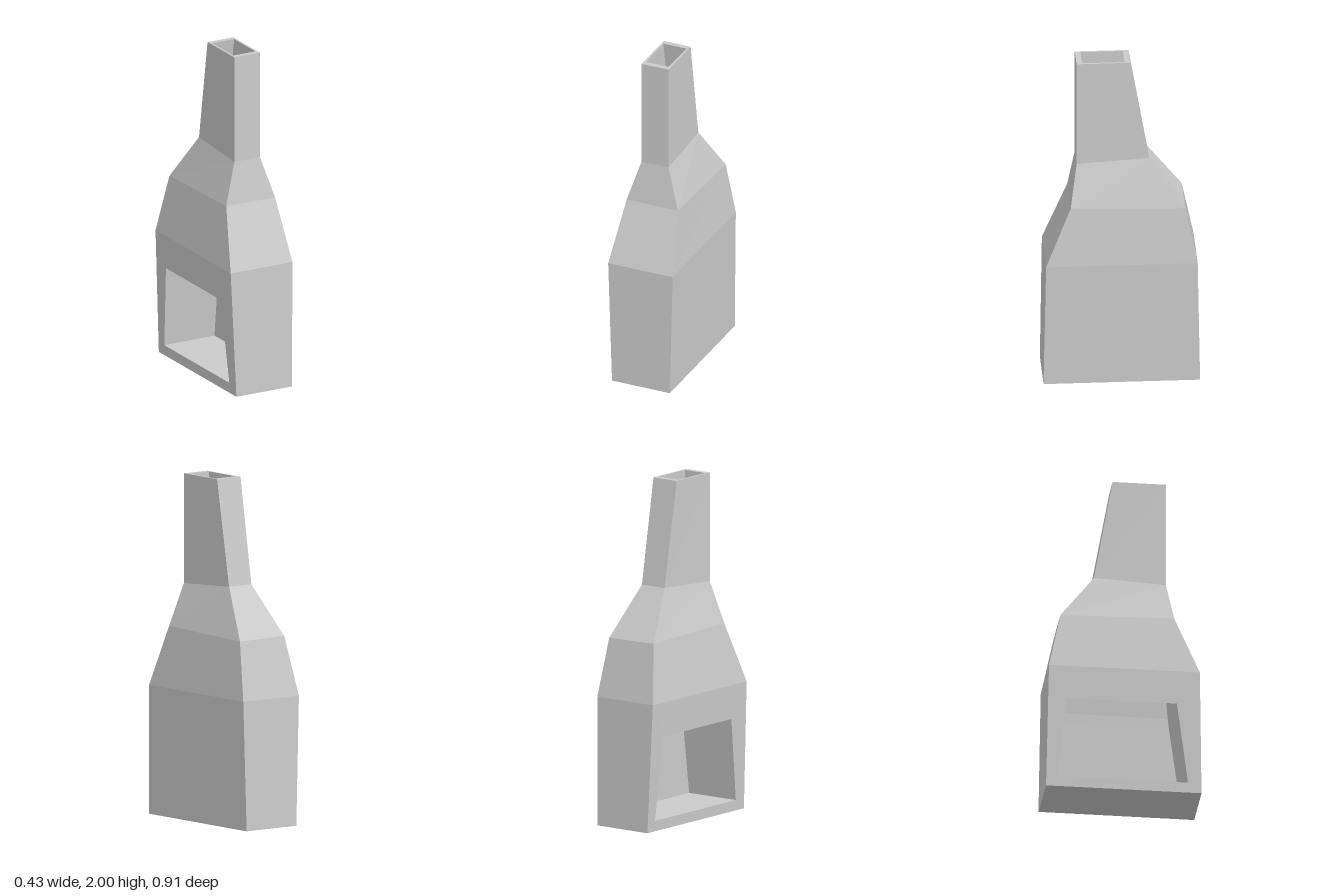
import * as THREE from 'three';

const material = new THREE.MeshStandardMaterial({ color: 0xcccccc, flatShading: true });

// Flat-shaded mesh from a list of four-cornered faces (counter-clockwise seen from outside)
function quadMesh(name, quads) {
  const positions = [];
  for (const [a, b, c, d] of quads) positions.push(...a, ...b, ...c, ...a, ...c, ...d);
  const geometry = new THREE.BufferGeometry();
  geometry.setAttribute('position', new THREE.Float32BufferAttribute(positions, 3));
  geometry.computeVertexNormals();
  const mesh = new THREE.Mesh(geometry, material);
  mesh.name = name;
  return mesh;
}

// Faces joining two four-cornered rings; side 3 faces -x
function band(lower, upper, sides = [0, 1, 2, 3], inward = false) {
  return sides.map((i) => {
    const j = (i + 1) % 4;
    const quad = [lower[j], lower[i], upper[i], upper[j]];
    return inward ? quad.reverse() : quad;
  });
}

// Flat strip between an outer and an inner loop
const frame = (outer, inner) => outer.map((p, i) => {
  const j = (i + 1) % 4;
  return [p, outer[j], inner[j], inner[i]];
});

export function createModel() {
  const group = new THREE.Group();
  group.name = 'fireplace';

  // Outer rings, corners: back -x, back +x, front +x, front -x
  const rings = [
    [[-0.165, 0, -0.458], [0.2, 0, -0.45], [0.183, 0, 0.456], [-0.185, 0, 0.446]],
    [[-0.195, 0.755, -0.445], [0.213, 0.755, -0.435], [0.195, 0.755, 0.442], [-0.215, 0.755, 0.432]],
    [[-0.145, 1.1, -0.372], [0.18, 1.095, -0.365], [0.165, 1.112, 0.297], [-0.16, 1.115, 0.29]],
    [[-0.07, 1.385, -0.165], [0.095, 1.385, -0.163], [0.088, 1.36, 0.256], [-0.083, 1.36, 0.253]],
    [[-0.077, 2, -0.058], [0.094, 2, -0.053], [0.088, 2, 0.256], [-0.083, 2, 0.253]],
  ];
  const [base, shoulder] = rings;
  const top = rings[4];

  // Tapered hearth opening lying in the -x wall
  const onWall = (y, z) => [-0.175 - 0.022 * z - 0.04 * y, y, z];
  const opening = [onWall(0.062, -0.39), onWall(0.062, 0.367), onWall(0.553, 0.3), onWall(0.553, -0.337)];

  // Outer masonry
  const body = [[...base], ...band(base, shoulder, [0, 1, 2])];
  for (let i = 1; i < rings.length - 1; i++) body.push(...band(rings[i], rings[i + 1]));
  group.add(quadMesh('chimneyBody', body));
  group.add(quadMesh('hearthSurround', frame([base[0], base[3], shoulder[3], shoulder[0]], opening)));

  // Hearth chamber: floor, back and side walls
  const floor = [opening[0], [0.166, 0.062, -0.385], [0.155, 0.062, 0.372], opening[1]];
  const lintel = [opening[3], [0.166, 0.553, -0.332], [0.155, 0.553, 0.305], opening[2]];
  group.add(quadMesh('hearthChamber', [
    [floor[0], floor[3], floor[2], floor[1]],
    ...band(floor, lintel, [0, 1, 2], true),
  ]));

  // Flue narrowing from the chamber to the top
  const throat = [[-0.15, 0.62, -0.33], [0.165, 0.62, -0.325], [0.154, 0.62, 0.297], [-0.165, 0.62, 0.292]];
  const neck = [[-0.058, 1.37, -0.13], [0.081, 1.37, -0.127], [0.075, 1.37, 0.222], [-0.07, 1.37, 0.22]];
  const mouth = [[-0.065, 2, -0.025], [0.081, 2, -0.022], [0.075, 2, 0.224], [-0.07, 2, 0.221]];
  const flue = [lintel, throat, neck, mouth];
  const lining = [];
  for (let i = 0; i < 3; i++) lining.push(...band(flue[i], flue[i + 1], [0, 1, 2, 3], true));
  group.add(quadMesh('flueLining', lining));

  // Rim around the flue mouth
  group.add(quadMesh('chimneyRim', frame([...top].reverse(), [...mouth].reverse())));

  return group;
}
